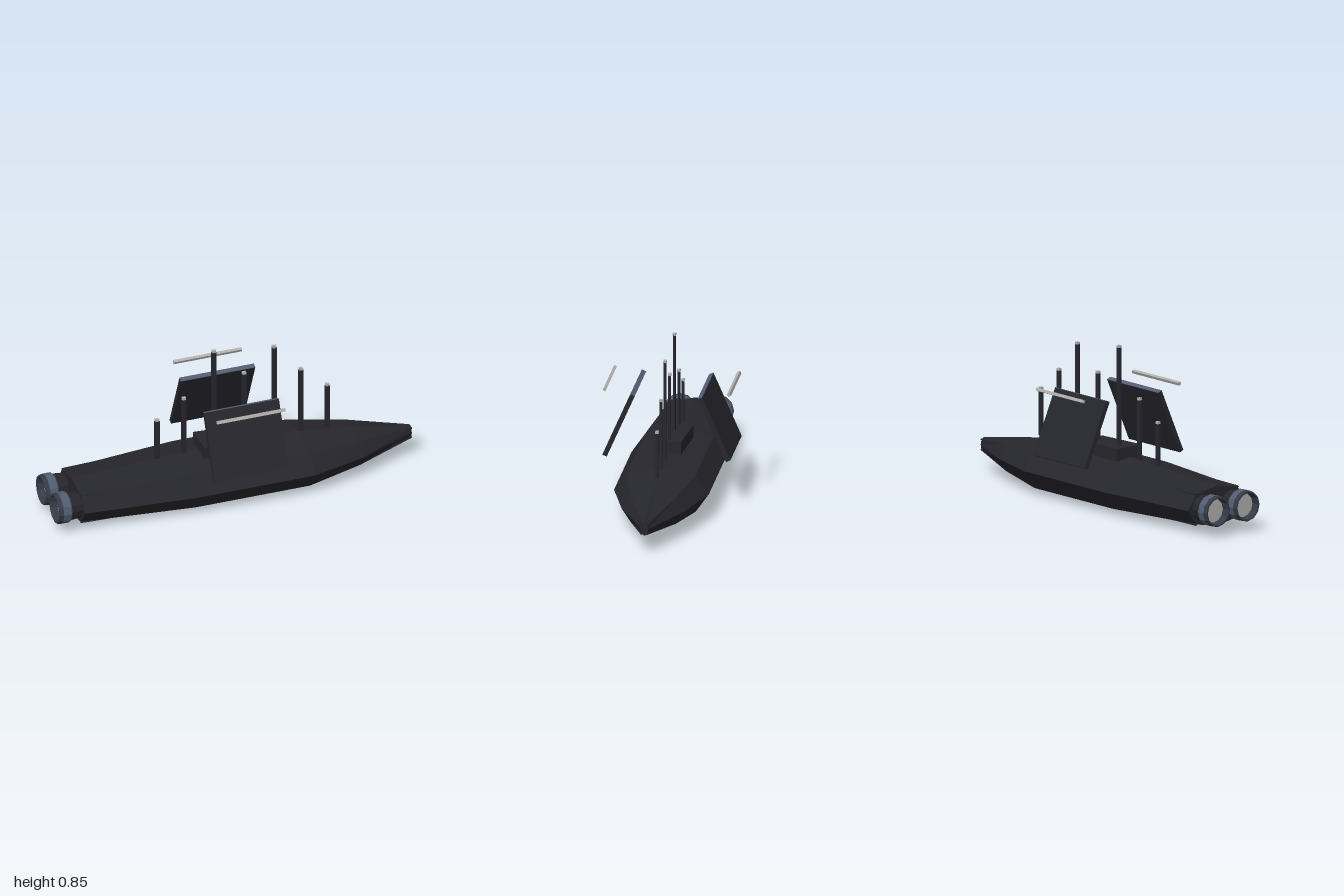
import * as THREE from 'three';

const mat = (name, color) => {
  const m = new THREE.MeshStandardMaterial({ color });
  m.name = name;
  m.flatShading = true;
  return m;
};

// Hull stations: x, half width, half height
const CY = 0.136;
const STATIONS = [[-0.87, 0.195, 0.107], [-0.25, 0.248, 0.134], [0.38, 0.248, 0.134],
  [0.68, 0.165, 0.094], [1.0, 0.02, 0.036]];
// Eight-sided cross-section, as (z, y) fractions
const SECTION = [[0, 1], [0.72, 0.74], [1, 0], [0.72, -0.74], [0, -1], [-0.72, -0.74], [-1, 0], [-0.72, 0.74]];

function hullPoint(station, j) {
  const [x, w, h] = station, [fz, fy] = SECTION[j % 8];
  return new THREE.Vector3(x, CY + fy * h, fz * w);
}

function hullGeometry() {
  const pts = [];
  const last = STATIONS.length - 1;
  for (let j = 0; j < 8; j++) {
    for (let i = 0; i < last; i++) {
      const a = hullPoint(STATIONS[i], j), b = hullPoint(STATIONS[i + 1], j);
      const c = hullPoint(STATIONS[i], j + 1), d = hullPoint(STATIONS[i + 1], j + 1);
      pts.push(a, c, b, b, c, d);
    }
    // stern and nose caps
    pts.push(new THREE.Vector3(STATIONS[0][0], CY, 0), hullPoint(STATIONS[0], j + 1), hullPoint(STATIONS[0], j));
    pts.push(new THREE.Vector3(1, CY, 0), hullPoint(STATIONS[last], j), hullPoint(STATIONS[last], j + 1));
  }
  const g = new THREE.BufferGeometry().setFromPoints(pts);
  g.computeVertexNormals();
  return g;
}

export function createModel() {
  const model = new THREE.Group();
  model.name = 'gunship';
  const hullMat = mat('charcoal', 0x26262d);
  const rimMat = mat('dark slate', 0x343a47);
  const trimMat = mat('slate blue', 0x535d71);
  const lightMat = mat('pale grey', 0xb2b0ad);
  rimMat.side = trimMat.side = THREE.DoubleSide;

  const add = (name, geo, material, x = 0, y = 0, z = 0, parent = model) => {
    const m = new THREE.Mesh(geo, material);
    m.name = name;
    m.position.set(x, y, z);
    parent.add(m);
    return m;
  };
  const box = (w, h, d) => new THREE.BoxGeometry(w, h, d);
  const lathe = (profile) => new THREE.LatheGeometry(profile.map(([r, y]) => new THREE.Vector2(r, y)), 12);

  add('hull', hullGeometry(), hullMat);

  // Slim strakes on the hull corners at nose and stern
  const strake = (name, from, to, r) => {
    const dir = to.clone().sub(from);
    const mid = from.clone().add(to).multiplyScalar(0.5);
    const m = add(name, new THREE.ConeGeometry(r, dir.length(), 4), hullMat, mid.x, mid.y, mid.z);
    m.quaternion.setFromUnitVectors(new THREE.Vector3(0, 1, 0), dir.normalize());
  };
  const sternInner = [-0.68, 0.211, 0.115];
  for (const j of [1, 3, 5, 7]) {
    strake('noseStrake', hullPoint(STATIONS[4], j), hullPoint(STATIONS[3], j), 0.006);
    strake('sternStrake', hullPoint(STATIONS[0], j), hullPoint(sternInner, j), 0.008);
  }

  // Tapered deck house
  const deck = new THREE.Shape([[-0.167, -0.087], [0.123, -0.065], [0.123, 0.065], [-0.167, 0.087]]
    .map(([x, z]) => new THREE.Vector2(x, z)));
  const deckGeo = new THREE.ExtrudeGeometry(deck, { depth: 0.067, bevelEnabled: false });
  deckGeo.rotateX(-Math.PI / 2);
  add('deckHouse', deckGeo, hullMat, 0, 0.258, 0);

  // Row of masts with pale tips
  const masts = [[-0.398, 0.5], [-0.25, 0.6], [-0.085, 0.85], [0.082, 0.685], [0.248, 0.81], [0.395, 0.645], [0.541, 0.52]];
  for (const [x, top] of masts) {
    const h = top - 0.012 - 0.262;
    add('mast', box(0.026, h, 0.012), hullMat, x, 0.262 + h / 2, 0);
    add('mastTip', box(0.02, 0.013, 0.017), lightMat, x, top - 0.0065, 0);
  }

  for (const s of [1, -1]) {
    // Leaning side panel with a thin coloured top edge
    const panel = new THREE.Group();
    panel.name = 'sidePanel';
    panel.position.set(0, 0.429, s * 0.25);
    panel.rotation.x = -s * 0.412;
    model.add(panel);
    add('panelPlate', box(0.41, 0.366, 0.025), hullMat, 0, 0, 0, panel);
    add('panelTopEdge', box(0.41, 0.003, 0.025), trimMat, 0, 0.1845, 0, panel);

    // Floating light bar above the panel
    const bar = add('lightBar', box(0.375, 0.016, 0.016), lightMat, 0, 0.616, s * 0.325);
    bar.rotation.x = -s * 0.412;

    // Engine: dark neck, banded open nozzle, pale exhaust disc
    const engine = new THREE.Group();
    engine.name = 'engine';
    engine.position.set(0, 0.14, s * 0.1);
    engine.rotation.z = Math.PI / 2; // local +y points to the stern
    model.add(engine);
    add('engineNeck', new THREE.CylinderGeometry(0.075, 0.066, 0.07, 12), hullMat, 0, 0.895, 0, engine);
    add('nozzleBand', lathe([[0.072, 0.925], [0.083, 0.935], [0.083, 0.977]]), trimMat, 0, 0, 0, engine);
    add('nozzleRim', lathe([[0.083, 0.977], [0.079, 1.0], [0.071, 1.0], [0.064, 0.955]]), rimMat, 0, 0, 0, engine);
    add('exhaustDisc', new THREE.CylinderGeometry(0.064, 0.064, 0.008, 12), lightMat, 0, 0.957, 0, engine);
  }
  return model;
}
